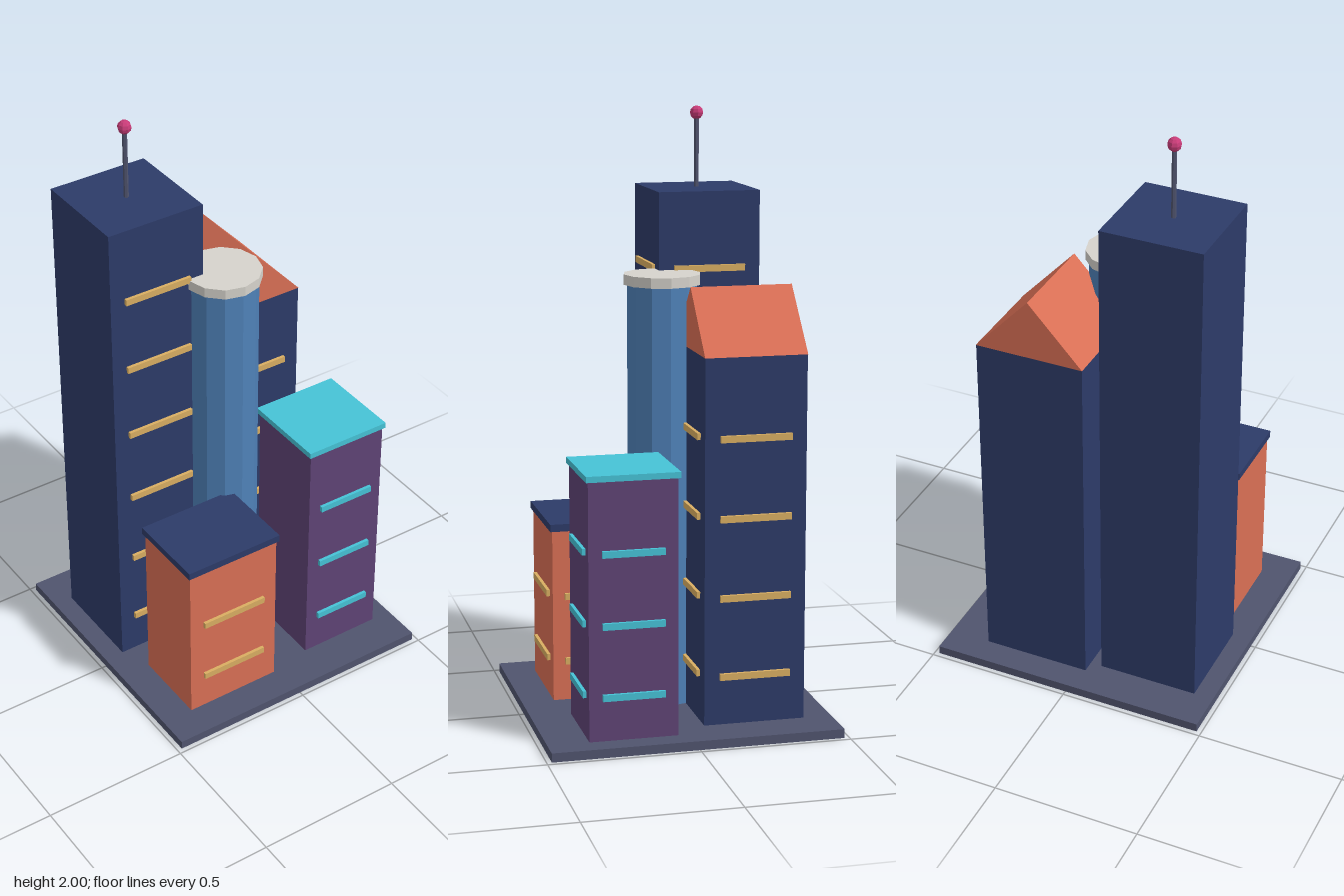
import * as THREE from 'three';

const mat = (name, color) => {
  const m = new THREE.MeshStandardMaterial({ color });
  m.name = name;
  return m;
};

export function createModel() {
  const city = new THREE.Group();
  city.name = 'cityBlock';
  const navy = mat('navy', 0x2d3b68), slate = mat('slate', 0x50546e);
  const coral = mat('coral', 0xd96f55), cyan = mat('cyan', 0x46c3d6);
  const gold = mat('gold', 0xd9ae62), purple = mat('purple', 0x5f4375);
  const blue = mat('blue', 0x4f81b8), stone = mat('stone', 0xd6d3cc);
  const pink = mat('pink', 0xc83c78);
  const BASE = 0.03;

  const add = (parent, name, geo, material, x, y, z) => {
    const mesh = new THREE.Mesh(geo, material);
    mesh.name = name;
    mesh.position.set(x, y, z);
    parent.add(mesh);
    return mesh;
  };
  // Box given by its centre in x and z, and its bottom and top
  const box = (parent, name, material, x, z, w, d, y0, y1) =>
    add(parent, name, new THREE.BoxGeometry(w, y1 - y0, d), material, x, (y0 + y1) / 2, z);
  // Faceted cylinder standing between two heights
  const column = (parent, name, material, x, z, r, sides, y0, y1) => {
    const geo = new THREE.CylinderGeometry(r, r, y1 - y0, sides).toNonIndexed();
    geo.computeVertexNormals();
    return add(parent, name, geo, material, x, (y0 + y1) / 2, z);
  };

  // Building body with window strips on its front and +x side
  function building(name, material, x, z, w, d, top, strip, heights) {
    const g = new THREE.Group();
    g.name = name;
    city.add(g);
    box(g, 'walls', material, x, z, w, d, BASE, top);
    for (const y of heights) {
      box(g, 'frontWindowStrip', strip, x, z + d / 2, w * 0.7, 0.022, y - 0.011, y + 0.011);
      box(g, 'sideWindowStrip', strip, x + w / 2, z, 0.022, d * 0.7, y - 0.011, y + 0.011);
    }
    return g;
  }

  box(city, 'groundSlab', slate, 0, 0, 0.967, 0.967, 0, BASE);

  // Tallest tower with antenna
  const tall = building('tallTower', navy, -0.243, -0.172, 0.345, 0.345, 1.73, gold,
    [0.18, 0.439, 0.698, 0.957, 1.216, 1.475]);
  column(tall, 'antenna', slate, -0.243, -0.172, 0.008, 6, 1.73, 1.98);
  const ball = new THREE.SphereGeometry(0.023, 8, 6).toNonIndexed();
  ball.computeVertexNormals();
  add(tall, 'antennaBall', ball, pink, -0.243, 1.978, -0.172);

  // Tower with a gabled roof, ridge running front to back
  const gabled = building('gabledTower', navy, 0.155, -0.219, 0.372, 0.338, 1.243, gold,
    [0.192, 0.455, 0.718, 0.98]);
  const gable = new THREE.Shape([
    new THREE.Vector2(-0.187, 0), new THREE.Vector2(0.187, 0), new THREE.Vector2(0, 0.202)]);
  add(gabled, 'gableRoof', new THREE.ExtrudeGeometry(gable, { depth: 0.34, bevelEnabled: false }),
    coral, 0.155, 1.243, -0.389);

  // Twelve-sided tower with a wider cap
  const round = new THREE.Group();
  round.name = 'roundTower';
  city.add(round);
  column(round, 'shaft', blue, 0, 0.007, 0.118, 12, BASE, 1.44);
  column(round, 'cap', stone, 0, 0.007, 0.129, 12, 1.438, 1.472);

  // Low front buildings with overhanging flat roofs
  const low = building('lowBlock', coral, -0.204, 0.24, 0.34, 0.27, 0.616, gold, [0.166, 0.39]);
  box(low, 'flatRoof', navy, -0.204, 0.24, 0.355, 0.285, 0.615, 0.64);
  const mid = building('midBlock', purple, 0.265, 0.201, 0.292, 0.292, 0.88, cyan,
    [0.175, 0.41, 0.645]);
  box(mid, 'flatRoof', cyan, 0.265, 0.201, 0.307, 0.307, 0.879, 0.899);

  return city;
}
